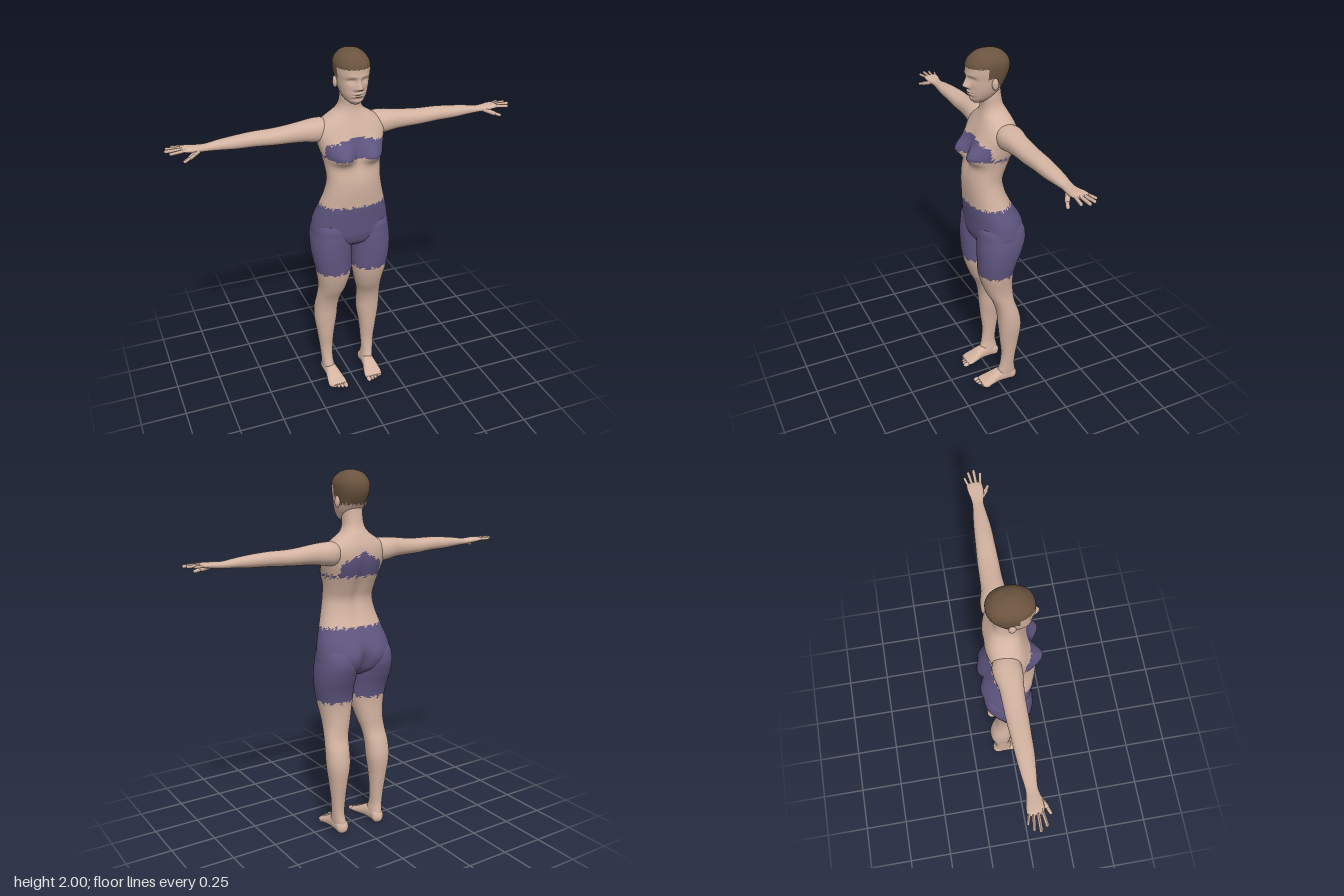
import * as THREE from 'three';

const skin = new THREE.MeshStandardMaterial({ color: 0xd3b3a1 });
skin.name = 'skin';
const cloth = new THREE.MeshStandardMaterial({ color: 0x5f5680 });
cloth.name = 'purple cloth';
const hair = new THREE.MeshStandardMaterial({ color: 0x6b543f });
hair.name = 'brown hair';

const bell = (d, width) => Math.exp(-(d * d) / (2 * width * width));
const jag = (a) => 0.006 * (Math.sin(a * 23) + Math.sin(a * 41 + 1));
const softPow = (v) => Math.sign(v) * Math.abs(v) ** 0.9;

// Smooth closed loft. Each row is [s, centre u, radius u, high v, low v];
// axes gives the world axes of (u, s, v), in right-handed order.
// deform(p, front) moves a vertex; painted(p, angle) picks the second material.
function loft(rows, axes, { segs = 40, steps = 60, deform, painted } = {}) {
  const curve = new THREE.CubicInterpolant(rows.map((r) => r[0]), rows.flatMap((r) => r.slice(1)), 4);
  const s0 = rows[0][0], s1 = rows[rows.length - 1][0];
  const pts = [], angles = [];
  const [iu, is, iv] = axes;
  const add = (u, s, v, angle) => {
    const p = [0, 0, 0];
    p[iu] = u; p[is] = s; p[iv] = v;
    const out = new THREE.Vector3(...p);
    if (deform) deform(out, Math.sin(angle));
    pts.push(out); angles.push(angle);
  };
  for (let i = 0; i <= steps; i++) {
    const t = i / steps;
    const eased = 0.4 * t + 0.6 * (1 - Math.cos(Math.PI * t)) / 2;
    const s = s0 + (s1 - s0) * eased;
    const [c, r, hi, lo] = curve.evaluate(s);
    for (let j = 0; j < segs; j++) {
      const a = (j / segs) * Math.PI * 2;
      add(c + Math.max(r, 0.001) * softPow(Math.cos(a)), s, (hi + lo) / 2 + (hi - lo) / 2 * softPow(Math.sin(a)), a);
    }
  }
  const lists = [[], []];
  const tri = (a, b, c) => {
    const mid = pts[a].clone().add(pts[b]).add(pts[c]).divideScalar(3);
    lists[painted && painted(mid, angles[a]) ? 1 : 0].push(a, b, c);
  };
  for (let i = 0; i < steps; i++) for (let j = 0; j < segs; j++) {
    const a = i * segs + j, b = i * segs + (j + 1) % segs;
    tri(a, a + segs, b);
    tri(b, a + segs, b + segs);
  }
  // End caps
  for (const [row, s, top] of [[rows[0], 0, false], [rows[rows.length - 1], steps, true]]) {
    add(row[1], row[0], (row[3] + row[4]) / 2, 0);
    const k = pts.length - 1;
    for (let j = 0; j < segs; j++) {
      const a = s * segs + j, b = s * segs + (j + 1) % segs;
      top ? tri(a, k, b) : tri(a, b, k);
    }
  }
  const g = new THREE.BufferGeometry().setFromPoints(pts);
  g.setIndex([...lists[0], ...lists[1]]);
  g.addGroup(0, lists[0].length, 0);
  g.addGroup(lists[0].length, lists[1].length, 1);
  g.computeVertexNormals();
  return g;
}

// Copy of a geometry on the other side of x = 0
function mirrored(geometry) {
  const g = geometry.clone().scale(-1, 1, 1);
  const ix = g.index.array;
  for (let i = 0; i < ix.length; i += 3) [ix[i + 1], ix[i + 2]] = [ix[i + 2], ix[i + 1]];
  g.computeVertexNormals();
  return g;
}

function rod(from, to, radius) {
  const a = new THREE.Vector3(...from), b = new THREE.Vector3(...to);
  const dir = b.clone().sub(a);
  const g = new THREE.CapsuleGeometry(radius, dir.length(), 5, 10);
  const turn = new THREE.Quaternion().setFromUnitVectors(new THREE.Vector3(0, 1, 0), dir.normalize());
  return g.applyQuaternion(turn).translate((a.x + b.x) / 2, (a.y + b.y) / 2, (a.z + b.z) / 2);
}

const ball = (x, y, z, rx, ry, rz) => new THREE.SphereGeometry(1, 18, 12).scale(rx, ry, rz).translate(x, y, z);

export function createModel() {
  const model = new THREE.Group();
  model.name = 'figure';
  const put = (name, geometry, material = skin) => {
    const mesh = new THREE.Mesh(geometry, material);
    mesh.name = name;
    model.add(mesh);
  };
  const pair = (name, geometry, material) => {
    put('left ' + name, geometry, material);
    put('right ' + name, mirrored(geometry), material);
  };

  // Torso, hips and neck, with the shorts' waist and the chest band
  put('torso', loft([
    [0.92, 0, 0.08, 0.05, -0.08], [0.95, 0, 0.17, 0.09, -0.12], [1.0, 0, 0.214, 0.113, -0.147],
    [1.05, 0, 0.214, 0.12, -0.152], [1.1, 0, 0.205, 0.125, -0.138], [1.15, 0, 0.19, 0.13, -0.112],
    [1.2, 0, 0.174, 0.133, -0.085], [1.26, 0, 0.157, 0.138, -0.062], [1.33, 0, 0.145, 0.138, -0.052],
    [1.4, 0, 0.15, 0.128, -0.075], [1.46, 0, 0.162, 0.122, -0.1], [1.52, 0, 0.177, 0.108, -0.118],
    [1.58, 0, 0.187, 0.087, -0.123], [1.62, 0, 0.165, 0.07, -0.117], [1.65, 0, 0.125, 0.058, -0.105],
    [1.68, 0, 0.08, 0.048, -0.09], [1.71, 0, 0.06, 0.044, -0.073], [1.76, 0, 0.053, 0.05, -0.062],
    [1.82, 0, 0.05, 0.04, -0.055],
  ], [0, 1, 2], {
    segs: 84, steps: 110,
    deform(p, front) {
      const f = Math.min(1, Math.max(0, 2 * front)), b = Math.min(1, Math.max(0, -2 * front));
      const x = Math.abs(p.x);
      p.z += f * 0.05 * bell(x - 0.085, 0.042) * bell(p.y - 1.465, p.y < 1.465 ? 0.024 : 0.04);
      p.z -= f * 0.012 * bell(x, 0.02) * bell(p.y - 1.47, 0.06);
      p.z += b * (0.03 * bell(x, 0.018) * bell(p.y - 1.0, 0.055) + 0.014 * bell(x, 0.022) * bell(p.y - 1.38, 0.12));
      p.z -= b * 0.014 * bell(x - 0.085, 0.05) * bell(p.y - 1.03, 0.06);
    },
    painted(p, a) {
      const x = Math.abs(p.x), j = jag(a);
      if (p.y < 1.3) return p.y < 1.185 + j * 0.9;
      if (p.z > 0.06) return p.y > 1.458 + j * 0.4 && p.y < 1.56 - 0.27 * Math.max(0, x - 0.03) + j * 0.5;
      if (p.z < -0.065 && x < 0.12) return p.y > 1.458 + j && p.y < 1.59 - 0.5 * x + j;
      return p.y > 1.455 + j * 0.5 && p.y < 1.468 + j;
    },
  }), [skin, cloth]);

  // Head with face relief and close-cropped hair
  put('head', loft([
    [1.735, 0, 0.022, 0.088, 0.03], [1.75, 0, 0.042, 0.102, 0], [1.78, 0, 0.062, 0.11, -0.035],
    [1.82, 0, 0.075, 0.114, -0.066], [1.86, 0, 0.082, 0.118, -0.09], [1.9, 0, 0.088, 0.123, -0.103],
    [1.94, 0, 0.086, 0.117, -0.1], [1.97, 0, 0.068, 0.092, -0.079], [1.99, 0, 0.042, 0.058, -0.047],
    [2.0, 0, 0.008, 0.018, -0.007],
  ], [0, 1, 2], {
    segs: 110, steps: 90,
    deform(p, front) {
      const f = Math.min(1, Math.max(0, 2 * front)), x = Math.abs(p.x);
      p.z += f * (0.025 * bell(x, 0.011) * bell(p.y - 1.824, p.y < 1.824 ? 0.007 : 0.014)
        + 0.013 * bell(x, 0.009) * bell(p.y - 1.85, 0.017)
        + 0.008 * bell(x - 0.015, 0.007) * bell(p.y - 1.82, 0.007)
        - 0.014 * bell(x - 0.033, 0.014) * bell(p.y - 1.86, 0.009)
        + 0.006 * bell(x - 0.033, 0.009) * bell(p.y - 1.857, 0.005)
        + 0.004 * bell(x - 0.03, 0.02) * bell(p.y - 1.882, 0.007)
        + 0.009 * bell(x, 0.018) * (bell(p.y - 1.795, 0.005) + bell(p.y - 1.782, 0.005))
        - 0.006 * bell(x, 0.02) * bell(p.y - 1.7885, 0.002)
        - 0.005 * bell(x, 0.025) * bell(p.y - 1.768, 0.006));
    },
    painted(p, a) {
      const line = p.z > 0.04 ? 1.917 : p.z > 0.005 ? 1.865 : 1.825;
      return p.y > line + jag(a) * (p.z > 0.04 ? 0.3 : 0.8);
    },
  }), [skin, hair]);
  pair('ear', ball(0.084, 1.838, 0.005, 0.012, 0.03, 0.018));

  // Arms and palms
  pair('arm', loft([
    [0.09, -0.03, 0.05, 1.63, 1.54], [0.15, -0.035, 0.07, 1.643, 1.52], [0.2, -0.033, 0.07, 1.642, 1.525],
    [0.25, -0.03, 0.061, 1.637, 1.533], [0.32, -0.03, 0.056, 1.628, 1.537], [0.4, -0.029, 0.054, 1.621, 1.54],
    [0.5, -0.027, 0.049, 1.62, 1.547], [0.6, -0.025, 0.044, 1.613, 1.55], [0.68, -0.025, 0.036, 1.604, 1.556],
    [0.75, -0.024, 0.029, 1.594, 1.56], [0.79, -0.022, 0.035, 1.595, 1.563], [0.83, -0.024, 0.041, 1.597, 1.57],
    [0.86, -0.026, 0.038, 1.595, 1.575], [0.87, -0.026, 0.03, 1.59, 1.58],
  ], [2, 0, 1], { segs: 32, steps: 60 }));

  // Fingers and thumb: knuckle, tip, radius
  const fingers = {
    'index finger': [[0.845, 1.586, 0.003], [0.918, 1.582, 0.014], 0.0085],
    'middle finger': [[0.85, 1.587, -0.016], [0.937, 1.586, -0.017], 0.0088],
    'ring finger': [[0.85, 1.586, -0.035], [0.928, 1.587, -0.046], 0.0082],
    'little finger': [[0.84, 1.585, -0.052], [0.9, 1.586, -0.069], 0.0072],
    'thumb base': [[0.785, 1.573, 0.0], [0.83, 1.557, 0.028], 0.0125],
    thumb: [[0.825, 1.559, 0.026], [0.86, 1.547, 0.042], 0.0092],
  };
  for (const [name, spec] of Object.entries(fingers)) pair(name, rod(...spec));

  // Legs, covered by the shorts above mid-thigh
  pair('leg', loft([
    [0.03, 0.12, 0.03, -0.01, -0.108], [0.06, 0.122, 0.034, 0.002, -0.11], [0.12, 0.128, 0.033, -0.012, -0.1],
    [0.2, 0.13, 0.038, -0.02, -0.105], [0.3, 0.132, 0.048, -0.01, -0.12], [0.42, 0.131, 0.065, 0, -0.131],
    [0.5, 0.129, 0.067, 0.008, -0.117], [0.57, 0.122, 0.068, 0.028, -0.093], [0.65, 0.109, 0.077, 0.068, -0.085],
    [0.77, 0.106, 0.098, 0.106, -0.085], [0.85, 0.112, 0.106, 0.113, -0.105], [0.92, 0.114, 0.11, 0.115, -0.132],
    [1.0, 0.11, 0.108, 0.112, -0.152], [1.07, 0.105, 0.095, 0.1, -0.13], [1.1, 0.1, 0.07, 0.07, -0.09],
  ], [0, 1, 2], {
    segs: 52, steps: 110,
    painted: (p, a) => p.y > 0.775 + jag(a),
  }), [skin, cloth]);

  // Feet and toes
  pair('foot', loft([
    [-0.118, 0.035, 0.012, 0.132, 0.108], [-0.105, 0.039, 0.032, 0.15, 0.09], [-0.06, 0.046, 0.042, 0.156, 0.087],
    [0, 0.045, 0.04, 0.157, 0.08], [0.05, 0.031, 0.028, 0.165, 0.067], [0.085, 0.022, 0.018, 0.167, 0.06],
    [0.11, 0.018, 0.011, 0.158, 0.063],
  ], [1, 2, 0], { segs: 32, steps: 40 }));
  for (let i = 0; i < 5; i++) {
    const r = i === 0 ? 0.0135 : 0.0105 - i * 0.0004;
    pair('toe ' + (i + 1), ball(0.074 + i * 0.0205 + (i ? 0.002 : 0), 0.016, 0.116 - i * i * 0.0022, r, r, 0.021));
  }
  return model;
}
